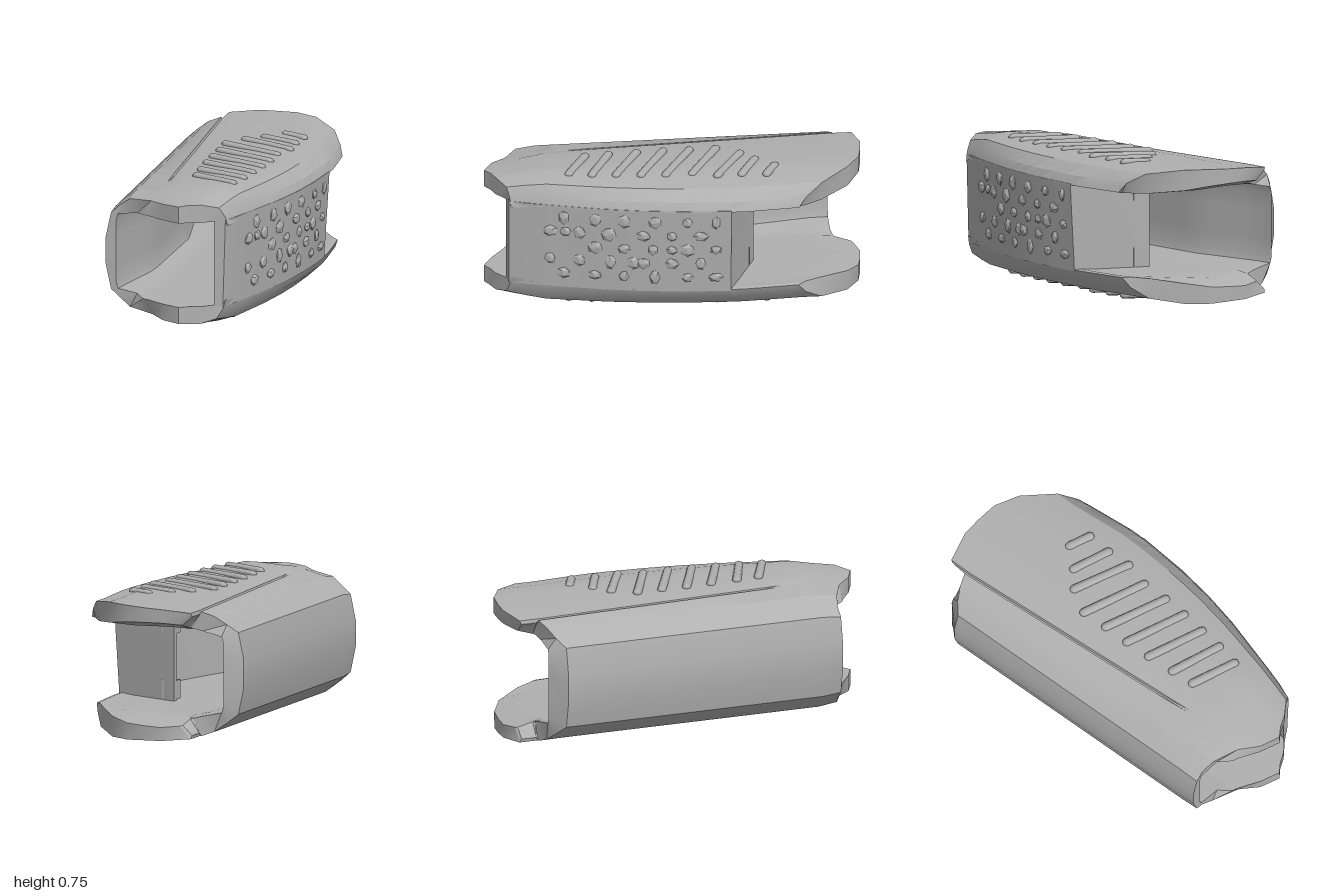
import * as THREE from 'three';
import { toCreasedNormals } from 'three/addons/utils/BufferGeometryUtils.js';

const H = 0.745; // total height, used for top/bottom mirroring
const clamp = THREE.MathUtils.clamp;
const lerp = THREE.MathUtils.lerp;

// Curved right-hand outline: [z, x]
const OUTLINE = [[1, 0.19], [0.9, 0.23], [0.75, 0.28], [0.6, 0.325], [0.4, 0.385], [0.2, 0.43],
  [0, 0.46], [-0.3, 0.483], [-0.5, 0.465], [-0.65, 0.45], [-1, 0.45]];
function rightEdge(z) {
  for (let i = 0; i < OUTLINE.length - 1; i++) {
    const [z0, x0] = OUTLINE[i], [z1, x1] = OUTLINE[i + 1];
    if (z >= z1) return lerp(x0, x1, clamp((z0 - z) / (z0 - z1), 0, 1));
  }
  return 0.45;
}
// The right side leans in towards the bottom
const lean = (y) => 1 - 0.06 * clamp((0.6 - y) / 0.46, 0, 1.2);

// Upper half of the sleeve section, right edge to left wall:
// outer x, outer y, inner x, inner y, front z, back z, groove role
const COLUMNS = [
  [0.48, 0.60, 0.455, 0.595, 0.88, -0.62],
  [0.46, 0.65, 0.44, 0.597, 0.885, -0.66],
  [0.40, 0.705, 0.38, 0.60, 0.90, -0.75],
  [0.25, 0.73, 0.25, 0.60, 0.95, -0.90],
  [0.12, 0.73, 0.12, 0.60, 0.97, -0.97],
  [0.00, 0.725, 0.00, 0.60, 1.00, -0.99],
  [-0.10, 0.722, -0.10, 0.60, 0.95, -1.00],
  [-0.22, 0.707, -0.20, 0.60, 0.88, -0.97, 'edge'],
  [-0.224, 0.706, -0.21, 0.60, 0.875, -0.96, 'floor'],
  [-0.232, 0.705, -0.22, 0.60, 0.87, -0.88, 'floor'],
  [-0.236, 0.704, -0.23, 0.60, 0.865, -0.87, 'edge'],
  [-0.33, 0.68, -0.28, 0.59, 0.80, -0.85],
  [-0.39, 0.635, -0.31, 0.575, 0.78, -0.82],
  [-0.44, 0.59, -0.32, 0.54, 0.78, -0.78],
  [-0.47, 0.45, -0.32, 0.45, 0.78, -0.78],
];

// Closed C-shaped loop: outer skin from top right round to bottom right, then back inside
function sectionLoop() {
  const n = COLUMNS.length, outer = [], inner = [];
  for (let k = 0; k < 2 * n; k++) {
    const top = k < n, c = COLUMNS[top ? k : 2 * n - 1 - k];
    const zB = c[2] < -0.25 ? -0.86 : c[5]; // left wall is bevelled at the back
    outer.push({ x: c[0], y: c[1], top, zF: c[4], zB: c[5], role: c[6], skin: true });
    inner.push({ x: c[2], y: c[3], top, zF: c[4], zB, skin: false });
  }
  return outer.concat(inner.reverse());
}

function sleevePoint(p, t) {
  const z = lerp(p.zF, p.zB, t);
  let { x, y } = p;
  if (p.skin) {
    y -= 0.035 * clamp((z - 0.72) / 0.2, 0, 1); // plates slope in at the front
    if (p.role) x += lerp(-0.04, 0.05, clamp((z + 0.86) / 1.42, 0, 1));
    if (p.role === 'floor') y -= 0.018 * clamp((0.56 - z) / 0.3, 0, 1);
  } else if (x < -0.3) {
    x -= 0.08 * clamp((Math.abs(z) - 0.35) / 0.43, 0, 1); // flared mouth
  } else {
    y += 0.05 * clamp((-z - 0.83) / 0.17, 0, 1); // plates thin out at the back
  }
  if (!p.top) y = H - y;
  if (x > 0) x *= (rightEdge(z) / 0.48) * lean(y);
  else if (p.skin && x < -0.3) x += 0.015 * z;
  return [x, y, z];
}

function sleeveGeometry() {
  const loop = sectionLoop(), N = loop.length, S = 16, pos = [], idx = [];
  for (let i = 0; i <= S; i++) for (const p of loop) pos.push(...sleevePoint(p, i / S));
  const quad = (a, b, c, d) => idx.push(a, b, c, a, c, d);
  for (let i = 0; i < S; i++) {
    for (let j = 0; j < N; j++) {
      const k = (j + 1) % N, a = i * N, b = a + N;
      quad(a + j, b + j, b + k, a + k);
    }
  }
  // front and back rims join the outer skin to the inner one
  for (let j = 0; j < N / 2 - 1; j++) {
    const e = S * N;
    quad(j, j + 1, N - 2 - j, N - 1 - j);
    quad(e + N - 1 - j, e + N - 2 - j, e + j + 1, e + j);
  }
  const g = new THREE.BufferGeometry();
  g.setAttribute('position', new THREE.Float32BufferAttribute(pos, 3));
  g.setIndex(idx);
  return toCreasedNormals(g, 0.45);
}

// Curved side wall with a slanted end panel: plan outline extruded upwards, then leaned
function sideWallGeometry() {
  const outer = [], inner = [];
  for (let i = 0; i <= 10; i++) {
    const z = 0.8 - i * 0.1;
    outer.push([rightEdge(z), z]);
    inner.unshift([rightEdge(z) - 0.07, z]);
  }
  const pts = [[0.165, 0.9], [0.225, 0.89], ...outer,
    [rightEdge(-0.26), -0.26], [0.07, -0.42], [0.07, -0.385], ...inner];
  const shape = new THREE.Shape(pts.map(([x, z]) => new THREE.Vector2(x, -z)));
  const g = new THREE.ExtrudeGeometry(shape, { depth: 0.47, bevelEnabled: false, steps: 4 });
  g.rotateX(-Math.PI / 2).translate(0, 0.137, 0);
  const p = g.attributes.position;
  for (let i = 0; i < p.count; i++) {
    if (p.getX(i) > 0.2) p.setX(i, p.getX(i) * lean(p.getY(i)));
  }
  return toCreasedNormals(g, 0.45);
}

// Grip ribs: [x0, z0, x1, z1]
const RIBS = [[0.16, -0.525, 0.295, -0.46], [0.07, -0.43, 0.285, -0.33], [-0.016, -0.36, 0.29, -0.2],
  [-0.09, -0.24, 0.255, -0.07], [-0.085, -0.1, 0.255, 0.07], [-0.085, 0.04, 0.245, 0.2],
  [-0.08, 0.18, 0.23, 0.33], [-0.07, 0.33, 0.215, 0.455], [-0.06, 0.455, 0.19, 0.575]];

// Staggered pebble rows: [y, z positions]
const PEBBLES = [
  [0.54, [0.61, 0.45, 0.3, 0.14, -0.03, -0.18]],
  [0.46, [0.68, 0.6, 0.53, 0.38, 0.2, 0.05, -0.1]],
  [0.38, [0.45, 0.3, 0.15, 0.05, -0.03, -0.18]],
  [0.3, [0.68, 0.53, 0.37, 0.25, 0.2, 0.05, -0.1]],
  [0.22, [0.61, 0.45, 0.3, 0.14, -0.03, -0.18]],
];

export function createModel() {
  const model = new THREE.Group();
  model.name = 'sleeve';
  const grey = new THREE.MeshStandardMaterial({ color: 0xb0b0b0 });
  grey.name = 'grey plastic';
  const add = (geometry, name, parent = model) => {
    const mesh = new THREE.Mesh(geometry, grey);
    mesh.name = name;
    parent.add(mesh);
    return mesh;
  };

  add(sleeveGeometry(), 'shell');
  add(sideWallGeometry(), 'sideWall');

  // Small lugs inside, in front of the end panel
  for (const y of [0.55, 0.2]) {
    add(new THREE.BoxGeometry(0.08, 0.1, 0.06), 'lug').position.set(0.112, y, -0.36);
  }

  // Raised ribs on top and bottom
  for (const top of [true, false]) {
    const ribs = new THREE.Group();
    ribs.name = top ? 'topRibs' : 'bottomRibs';
    for (const [x0, z0, x1, z1] of RIBS) {
      const g = new THREE.CapsuleGeometry(0.024, Math.hypot(x1 - x0, z1 - z0) - 0.03, 3, 8);
      g.rotateZ(Math.PI / 2).scale(1, 0.8, 1).rotateY(-Math.atan2(z1 - z0, x1 - x0));
      const y = 0.726;
      add(g, 'rib', ribs).position.set((x0 + x1) / 2, top ? y : H - y, (z0 + z1) / 2);
    }
    model.add(ribs);
  }

  // Faceted grip pebbles on the side wall
  let seed = 7;
  const rand = () => (seed = (seed * 16807) % 2147483647) / 2147483647;
  const pebbles = new THREE.Group();
  pebbles.name = 'gripPebbles';
  for (const [y, zs] of PEBBLES) {
    for (const z of zs) {
      const g = new THREE.IcosahedronGeometry(1, 0);
      g.rotateX(rand() * 6).scale(0.016, 0.024 + rand() * 0.022, 0.024 + rand() * 0.02);
      const slope = (rightEdge(z + 0.05) - rightEdge(z - 0.05)) / 0.1;
      const m = add(g, 'pebble', pebbles);
      m.rotation.y = Math.atan(slope);
      m.position.set(rightEdge(z) * lean(y), y, z);
    }
  }
  model.add(pebbles);
  return model;
}
